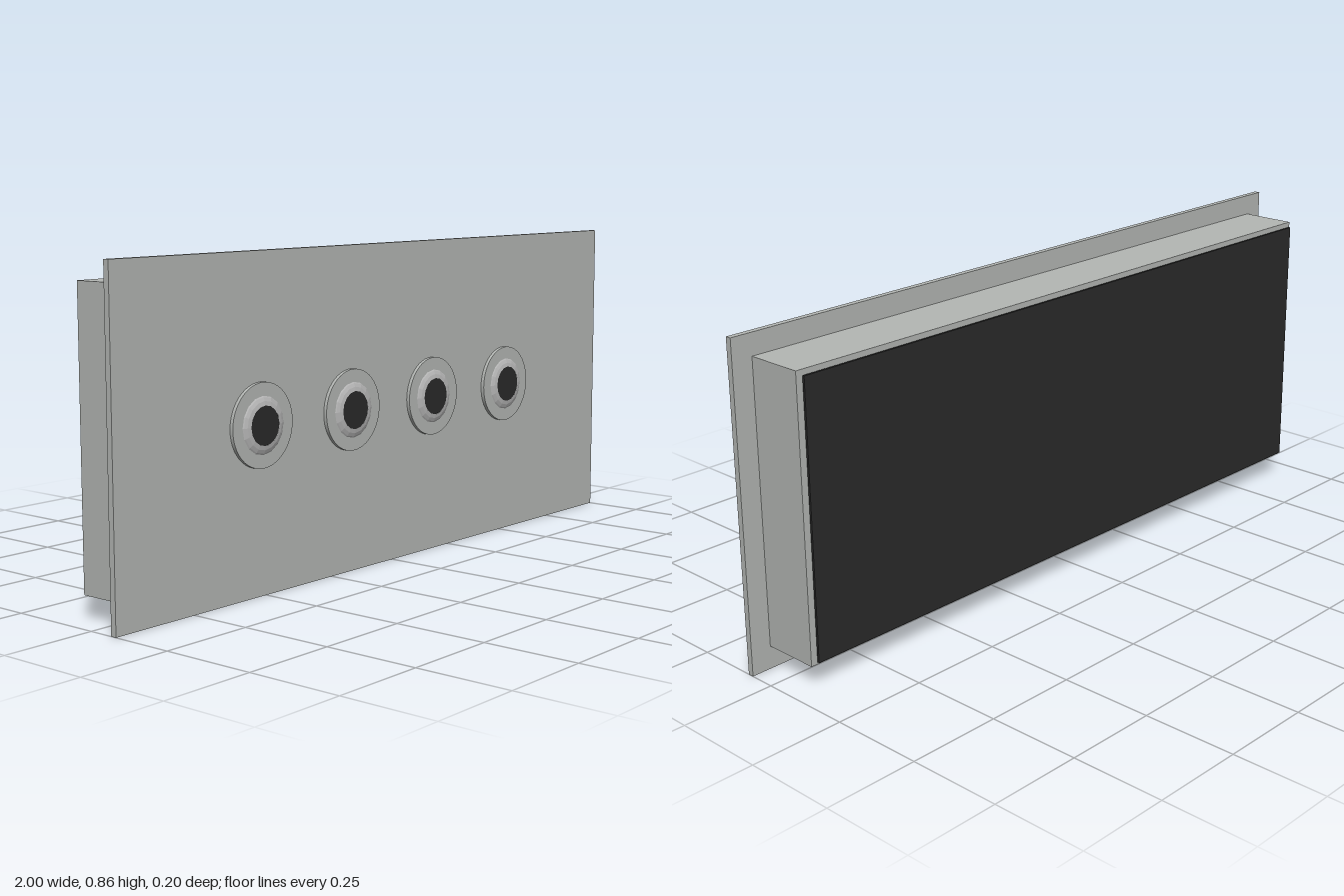
import * as THREE from 'three';

const material = (name, color) => {
  const m = new THREE.MeshStandardMaterial({ color });
  m.name = name;
  return m;
};

export function createModel() {
  const model = new THREE.Group();
  model.name = 'wallPanel';
  const grey = material('panelGrey', 0xb4b7b4);
  const silver = material('socketSilver', 0xbababa);
  const black = material('black', 0x2a2a2a);

  // Box spanning y0..y1 and z0..z1, centred on x
  const slab = (name, width, y0, y1, z0, z1, mat) => {
    const mesh = new THREE.Mesh(new THREE.BoxGeometry(width, y1 - y0, z1 - z0), mat);
    mesh.name = name;
    mesh.position.set(0, (y0 + y1) / 2, (z0 + z1) / 2);
    model.add(mesh);
  };
  slab('facePlate', 2, 0, 0.857, 0.068, 0.084, grey);
  slab('housing', 1.886, 0.06, 0.8, -0.087, 0.068, grey);
  slab('backPanel', 1.86, 0.07, 0.788, -0.1, -0.094, black);

  // Washer and domed collar, revolved about the socket axis
  const washer = new THREE.CylinderGeometry(0.107, 0.107, 0.0095, 48).rotateX(Math.PI / 2);
  const collarProfile = [[0.075, 0], [0.07, 0.003], [0.061, 0.0065], [0.05, 0.0085]]
    .map(([r, h]) => new THREE.Vector2(r, h));
  const flatCollar = new THREE.LatheGeometry(collarProfile, 16)
    .rotateX(Math.PI / 2).toNonIndexed();
  flatCollar.computeVertexNormals();
  const opening = new THREE.CircleGeometry(0.05, 16).rotateZ(Math.PI / 2);

  for (const x of [-0.516, -0.173, 0.169, 0.512]) {
    const socket = new THREE.Group();
    socket.name = 'socket';
    socket.position.set(x, 0.43, 0.084);
    const add = (name, geometry, mat, z) => {
      const mesh = new THREE.Mesh(geometry, mat);
      mesh.name = name;
      mesh.position.z = z;
      socket.add(mesh);
    };
    add('washer', washer, grey, 0.00475);
    add('collar', flatCollar, silver, 0.0085);
    add('opening', opening, black, 0.0168);
    model.add(socket);
  }
  return model;
}
